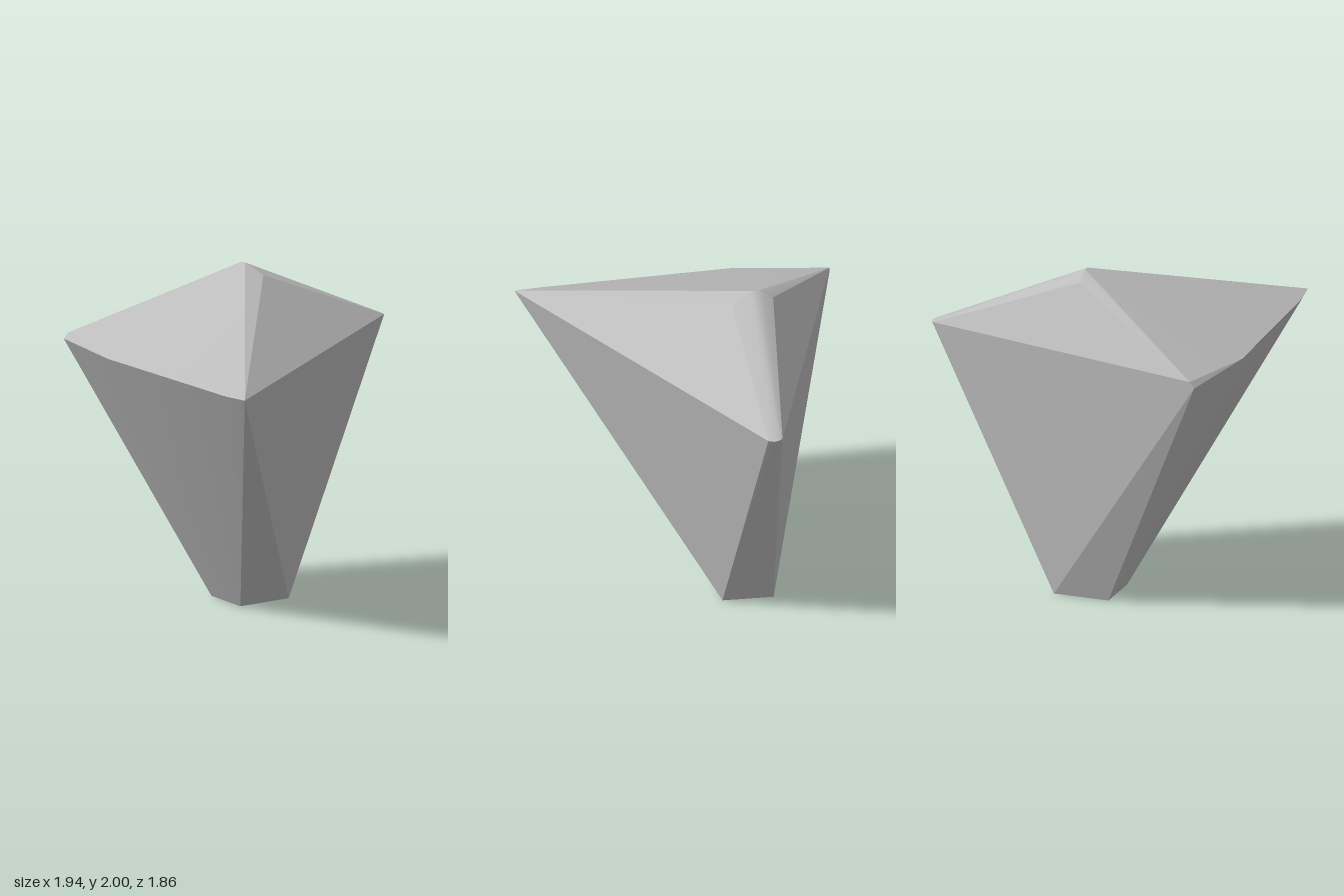
import * as THREE from 'three';
import { ConvexGeometry } from 'three/addons/geometries/ConvexGeometry.js';
import { toCreasedNormals } from 'three/addons/utils/BufferGeometryUtils.js';

export function createModel() {
  const group = new THREE.Group();
  group.name = 'cutStone';
  const stone = new THREE.MeshStandardMaterial({ color: 0xbcbcbc });
  stone.name = 'grey stone';

  // rectangular foot
  const foot = [[-0.17, 0, -0.16], [0.17, 0, -0.16], [-0.17, 0, -0.46], [0.17, 0, -0.46]];

  // widest outline: four corners, softened by small bevels
  const girdle = [
    [-0.88, 1.565, 0.925], [-0.905, 1.56, 0.77],
    [-0.97, 1.56, -0.36],
    [-0.89, 1.55, -0.93], [-0.86, 1.585, -0.925],
    [0.945, 1.56, -0.41], [0.96, 1.56, -0.39], [0.967, 1.558, -0.36], [0.957, 1.56, -0.325],
  ];

  // peak, rounded towards the back and bevelled at the front
  const peak = [
    [0, 2, -0.36], [0, 1.998, -0.39], [0, 1.984, -0.425], [0, 1.945, -0.48],
    [0.04, 1.945, -0.23],
  ];

  const points = [...foot, ...girdle, ...peak].map((p) => new THREE.Vector3(...p));
  const body = new THREE.Mesh(toCreasedNormals(new ConvexGeometry(points), 0.3), stone);
  body.name = 'stoneBody';
  group.add(body);
  return group;
}
